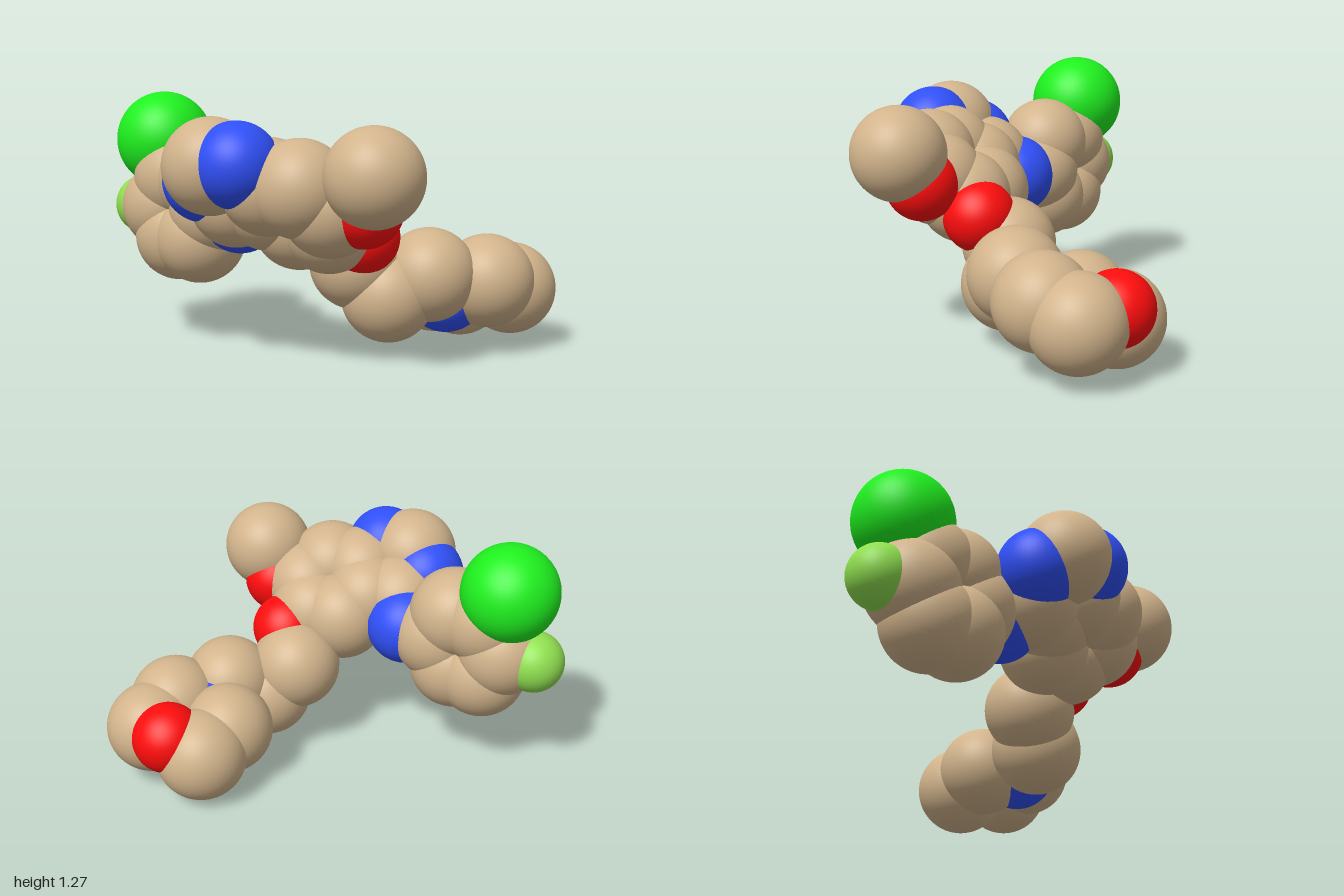
import * as THREE from 'three';

// Atom kinds: radius and colour
const KINDS = {
  carbon: { r: 0.231, color: 0xd2b48c },
  nitrogen: { r: 0.204, color: 0x3050f8 },
  oxygen: { r: 0.179, color: 0xff0d0d },
  fluorine: { r: 0.156, color: 0x90e050 },
  chlorine: { r: 0.247, color: 0x1ff01f },
};

// Each part of the molecule: [kind, x, y, z] per atom
const PARTS = {
  halogenRing: [
    ['carbon', -0.4, 0.69, -0.31],
    ['carbon', -0.408, 0.838, -0.405],
    ['carbon', -0.42, 0.838, -0.575],
    ['carbon', -0.435, 0.685, -0.665],
    ['carbon', -0.425, 0.537, -0.565],
    ['carbon', -0.42, 0.541, -0.405],
    ['chlorine', -0.413, 1.026, -0.705],
    ['fluorine', -0.445, 0.675, -0.843],
  ],
  bridge: [['nitrogen', -0.385, 0.697, -0.125]],
  nitrogenRing: [
    ['nitrogen', -0.674, 0.971, 0.194],
    ['carbon', -0.695, 0.957, 0.035],
    ['nitrogen', -0.638, 0.88, -0.082],
    ['carbon', -0.5, 0.78, -0.015],
  ],
  benzeneRing: [
    ['carbon', -0.43, 0.775, 0.145],
    ['carbon', -0.31, 0.68, 0.225],
    ['carbon', -0.28, 0.68, 0.395],
    ['carbon', -0.37, 0.775, 0.495],
    ['carbon', -0.49, 0.868, 0.42],
    ['carbon', -0.525, 0.865, 0.245],
  ],
  methoxyArm: [
    ['oxygen', -0.315, 0.78, 0.66],
    ['carbon', -0.363, 0.936, 0.764],
  ],
  chain: [
    ['oxygen', -0.127, 0.613, 0.463],
    ['carbon', -0.043, 0.465, 0.34],
    ['carbon', 0.055, 0.306, 0.46],
    ['carbon', 0.208, 0.406, 0.59],
  ],
  endRing: [
    ['nitrogen', 0.355, 0.3, 0.57],
    ['carbon', 0.447, 0.29, 0.41],
    ['carbon', 0.653, 0.237, 0.412],
    ['oxygen', 0.746, 0.333, 0.545],
    ['carbon', 0.668, 0.298, 0.725],
    ['carbon', 0.477, 0.362, 0.734],
  ],
};

export function createModel() {
  const model = new THREE.Group();
  model.name = 'molecule';

  // One shared sphere and material per kind of atom
  const shared = {};
  for (const [kind, { r, color }] of Object.entries(KINDS)) {
    shared[kind] = {
      geometry: new THREE.SphereGeometry(r, 48, 32),
      material: new THREE.MeshStandardMaterial({ color }),
    };
  }

  for (const [name, atoms] of Object.entries(PARTS)) {
    const part = new THREE.Group();
    part.name = name;
    for (const [kind, x, y, z] of atoms) {
      const atom = new THREE.Mesh(shared[kind].geometry, shared[kind].material);
      atom.name = kind + 'Atom';
      atom.position.set(x, y, z);
      part.add(atom);
    }
    model.add(part);
  }
  return model;
}
